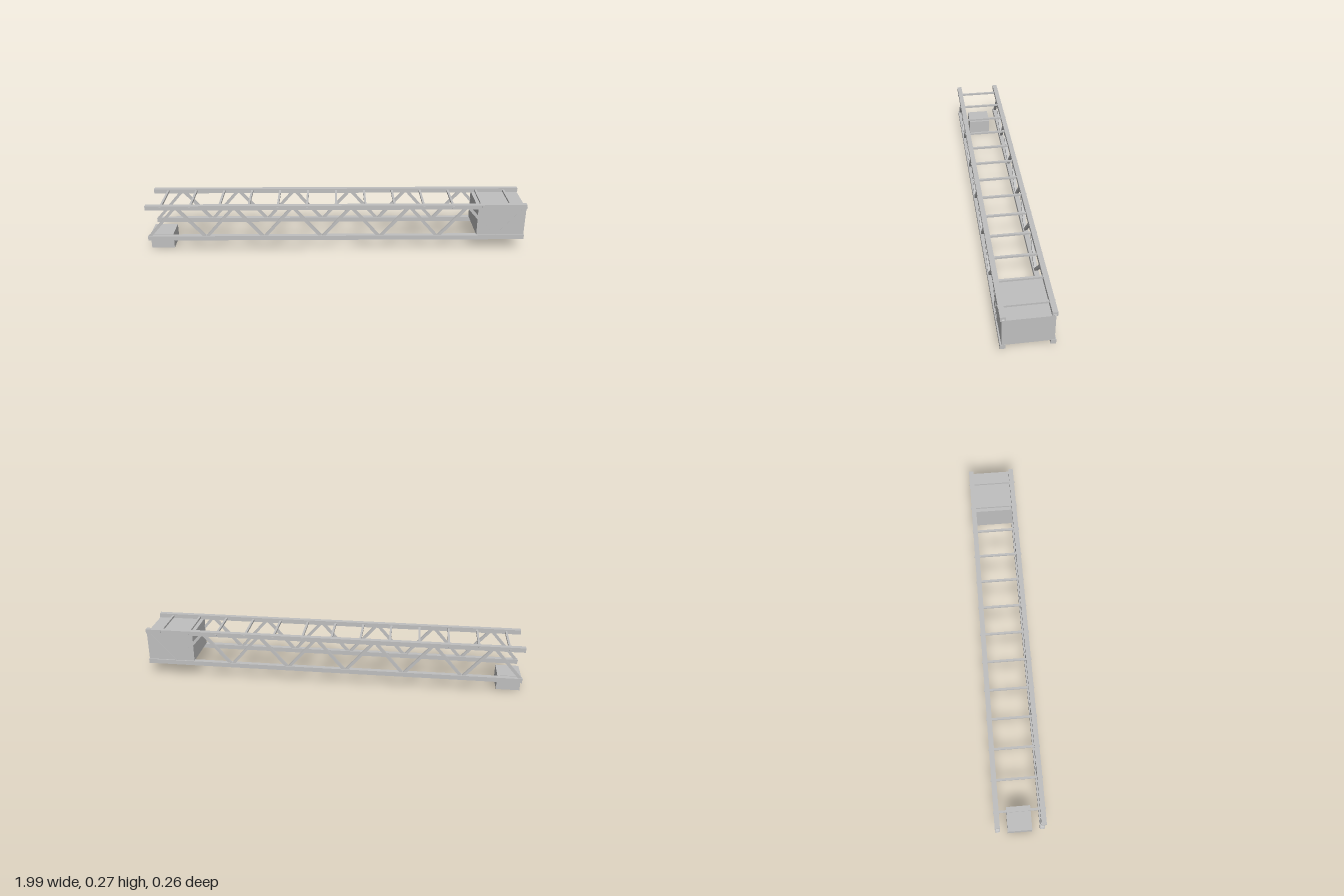
import * as THREE from 'three';

export function createModel() {
  const model = new THREE.Group();
  const grey = new THREE.MeshStandardMaterial({ color: 0xc0c0c0 });
  grey.name = 'light grey';

  function box(name, w, h, d, x, y, z) {
    const mesh = new THREE.Mesh(new THREE.BoxGeometry(w, h, d), grey);
    mesh.name = name;
    mesh.position.set(x, y, z);
    model.add(mesh);
    return mesh;
  }

  const low = 0.087, high = 0.262, step = 0.1525, bays = 13, start = -0.991;

  for (const side of [1, -1]) {
    const z = side * 0.1125;
    const sideName = side > 0 ? 'front' : 'back';
    // Long chords
    box(sideName + 'TopChord', 1.986, 0.024, 0.025, 0, 0.261, z);
    box(sideName + 'BottomChord', 1.986, 0.024, 0.025, 0, low, z);

    // Zigzag lattice bars
    for (let i = 0; i < bays; i++) {
      const rise = (high - low) * (i % 2 ? -1 : 1);
      const bar = box(sideName + 'Diagonal' + i, Math.hypot(step, rise), 0.014, 0.014,
        start + (i + 0.5) * step, (low + high) / 2, z);
      bar.rotation.z = Math.atan2(rise, step);
    }
  }

  // Rungs across the top chords
  for (let i = 0; i < bays; i++) {
    box('crossBar' + i, 0.011, 0.01, 0.256, (i - 6) * step, 0.261, 0);
  }

  // Counterweight between the chords, and the hanging block at the other end
  box('counterweight', 0.25, 0.152, 0.236, 0.866, 0.174, 0);
  box('hangingBlock', 0.122, 0.082, 0.124, -0.934, 0.041, 0);

  return model;
}
